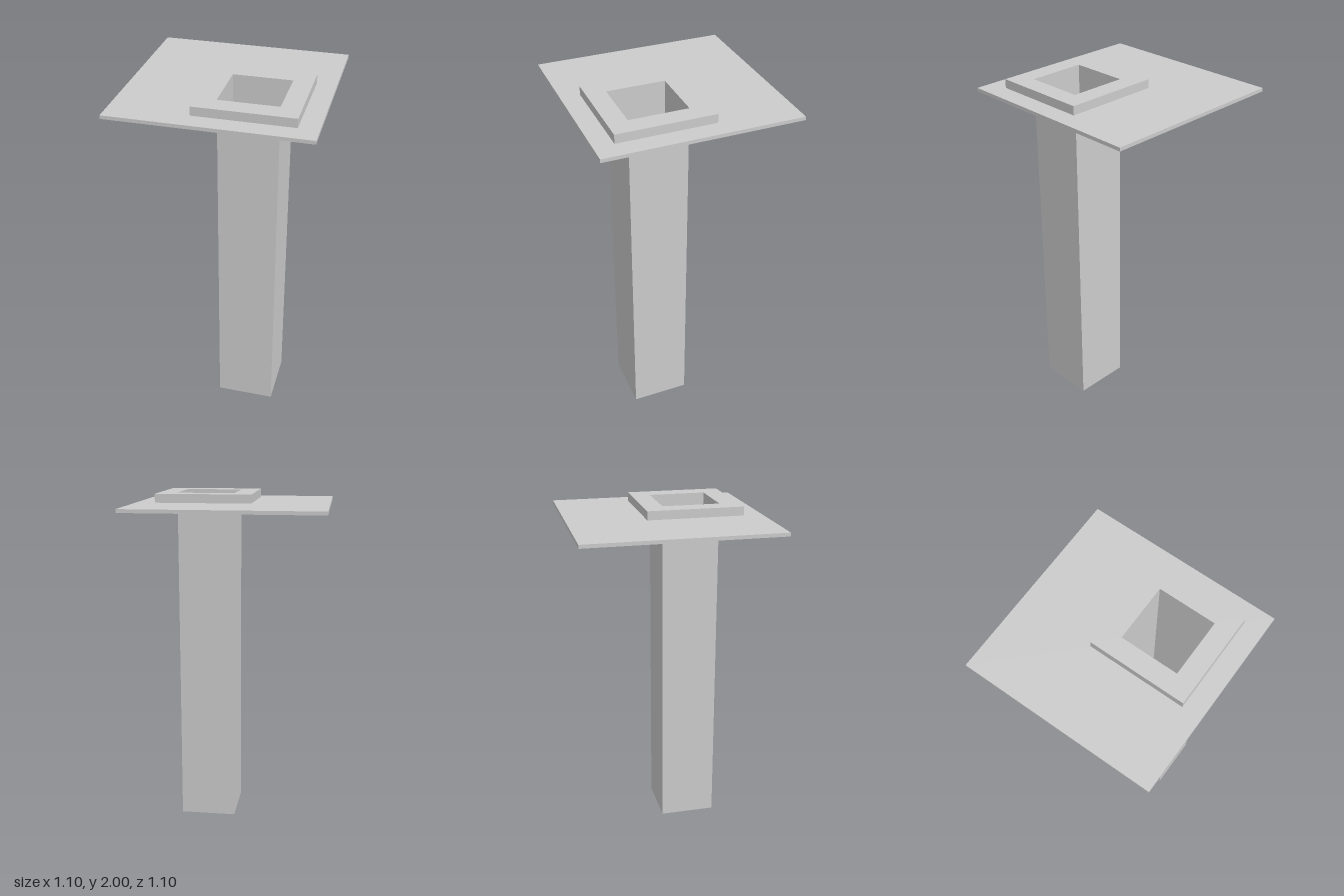
import * as THREE from 'three';

const material = new THREE.MeshStandardMaterial({
  color: 0xcccccc, flatShading: true, side: THREE.DoubleSide,
});

// Skin a sequence of horizontal square rings: [centre (x and z), half width, y]
function squareLoft(name, rings) {
  const corners = [[1, 1], [1, -1], [-1, -1], [-1, 1]];
  const positions = [];
  const index = [];
  for (const [c, h, y] of rings) {
    for (const [sx, sz] of corners) positions.push(c + sx * h, y, c + sz * h);
  }
  for (let r = 0; r < rings.length - 1; r++) {
    for (let i = 0; i < 4; i++) {
      const j = (i + 1) % 4;
      const a = r * 4 + i, b = r * 4 + j;
      index.push(a, b, b + 4, a, b + 4, a + 4);
    }
  }
  let geometry = new THREE.BufferGeometry();
  geometry.setAttribute('position', new THREE.Float32BufferAttribute(positions, 3));
  geometry.setIndex(index);
  geometry = geometry.toNonIndexed();
  geometry.computeVertexNormals();
  const mesh = new THREE.Mesh(geometry, material);
  mesh.name = name;
  return mesh;
}

export function createModel() {
  const model = new THREE.Group();
  model.name = 'hollowPostWithPlate';

  const centre = 0.165;      // the shaft stands off-centre under the plate
  const shaftHalf = 0.165;
  const collarHalf = 0.275;
  const plateHalf = 0.55;
  const plateBottom = 1.93, plateTop = 1.95, top = 2;

  // Thin square plate with a square opening under the collar
  model.add(squareLoft('plate', [
    [centre, collarHalf, plateBottom],
    [0, plateHalf, plateBottom],
    [0, plateHalf, plateTop],
    [centre, collarHalf, plateTop],
    [centre, collarHalf, plateBottom],
  ]));

  // Raised collar: thin outer wall and a flat rim running in to the shaft
  model.add(squareLoft('collar', [
    [centre, collarHalf, plateTop],
    [centre, collarHalf, top],
    [centre, shaftHalf, top],
  ]));

  // Hollow shaft, open at the top
  model.add(squareLoft('shaft', [
    [centre, shaftHalf, 0],
    [centre, shaftHalf, top],
  ]));

  // Floor closing the shaft
  const floor = new THREE.Mesh(
    new THREE.PlaneGeometry(shaftHalf * 2, shaftHalf * 2).rotateX(Math.PI / 2), material);
  floor.position.set(centre, 0, centre);
  floor.name = 'shaftFloor';
  model.add(floor);

  return model;
}
